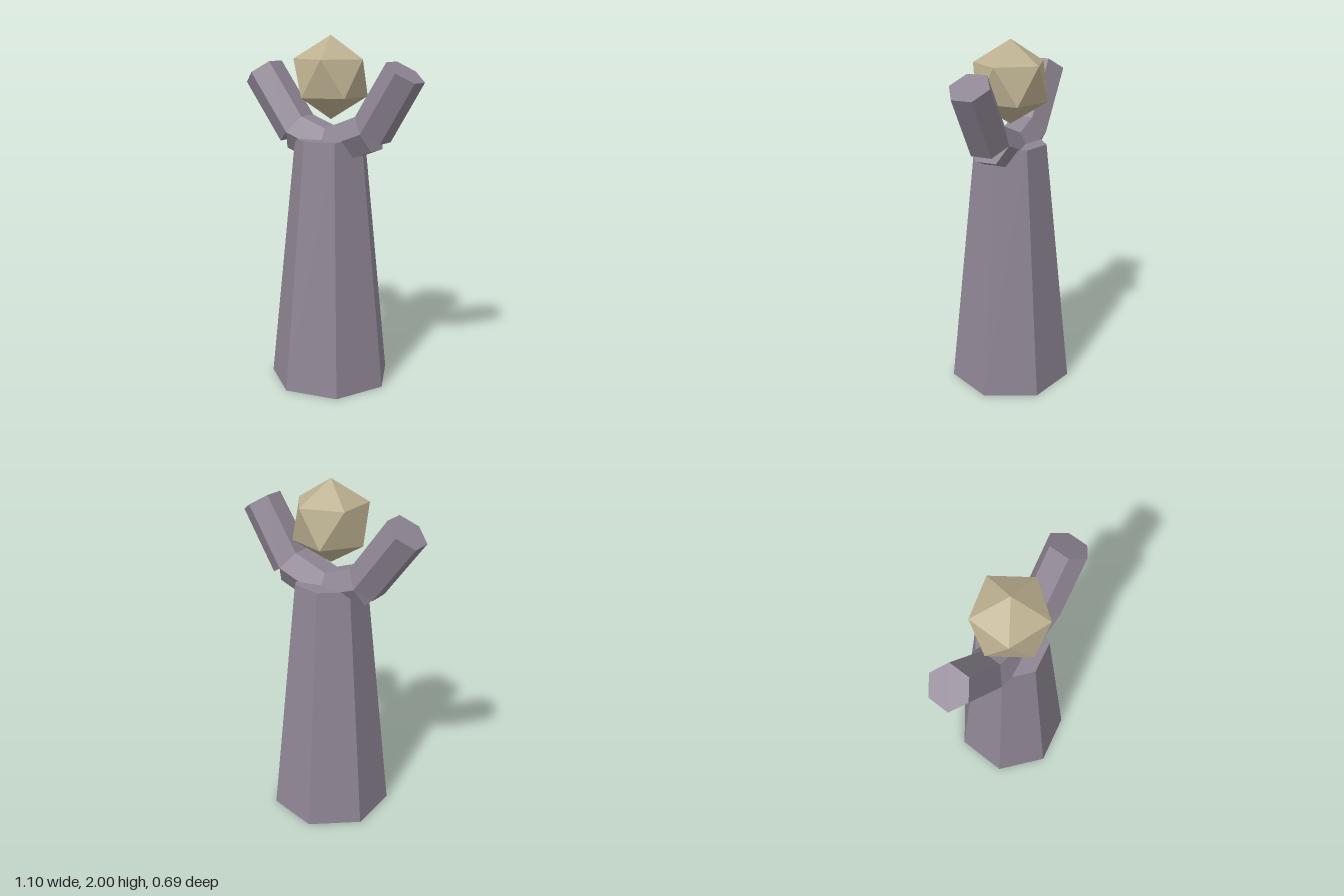
import * as THREE from 'three';

const stone = new THREE.MeshStandardMaterial({ color: 0x8e8593, flatShading: true });
stone.name = 'purple grey stone';
const gold = new THREE.MeshStandardMaterial({ color: 0xbcb090, flatShading: true });
gold.name = 'pale gold crystal';

export function createModel() {
  const model = new THREE.Group();
  const add = (name, geometry, material, parent = model) => {
    const mesh = new THREE.Mesh(geometry, material);
    mesh.name = name;
    parent.add(mesh);
    return mesh;
  };

  // Seven-sided tapering tower with one corner towards +x
  const tower = new THREE.CylinderGeometry(0.205, 0.355, 1.43, 7, 1, false, Math.PI / 2);
  add('tower', tower, stone).position.y = 0.715;

  // Cradle: hexagonal bars joining successive points, from right to left
  const cradle = new THREE.Group();
  cradle.name = 'cradle';
  model.add(cradle);
  const joints = [[-0.468, 1.79], [-0.226, 1.461], [0, 1.381], [0.264, 1.482], [0.468, 1.81]]
    .map(([x, y]) => new THREE.Vector3(x, y, 0));
  const radii = [0.12, 0.12, 0.12, 0.12, 0.115];
  const names = ['rightArm', 'rightCradleBar', 'leftCradleBar', 'leftArm'];
  const up = new THREE.Vector3(0, 1, 0);
  names.forEach((name, i) => {
    const a = joints[i], b = joints[i + 1];
    const bar = new THREE.CylinderGeometry(radii[i + 1], radii[i], a.distanceTo(b), 6);
    const mesh = add(name, bar, stone, cradle);
    mesh.position.lerpVectors(a, b, 0.5);
    mesh.quaternion.setFromUnitVectors(up, b.clone().sub(a).normalize());
  });

  // Floating crystal, turned to stand on one corner
  const crystal = new THREE.IcosahedronGeometry(0.231, 0);
  crystal.rotateX(-Math.atan((1 + Math.sqrt(5)) / 2)).rotateY(Math.PI / 2);
  add('crystal', crystal, gold).position.y = 1.769;

  return model;
}
